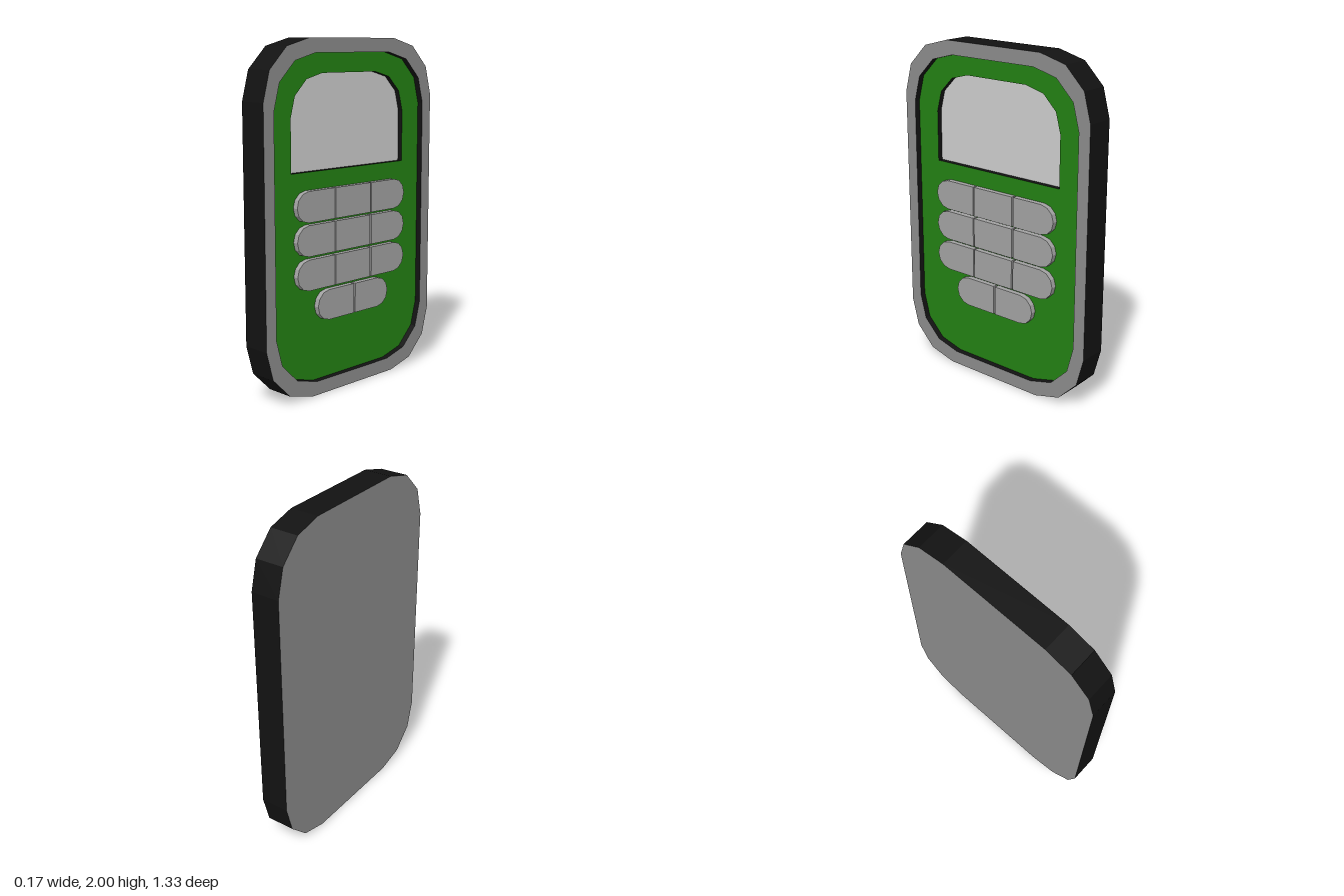
import * as THREE from 'three';

const mat = (color) => new THREE.MeshStandardMaterial({ color, flatShading: true });

// Counter-clockwise outline of a box whose corners are cut into 30 degree steps.
// Radii run top right, top left, bottom left, bottom right.
function outline(x0, x1, y0, y1, radii) {
  const corners = [[x1, y1, -1, -1], [x0, y1, 1, -1], [x0, y0, 1, 1], [x1, y0, -1, 1]];
  const points = [];
  corners.forEach(([x, y, sx, sy], i) => {
    const r = radii[i];
    if (!r) { points.push(new THREE.Vector2(x, y)); return; }
    for (let k = 0; k <= 3; k++) {
      const a = (i * 3 + k) * Math.PI / 6;
      points.push(new THREE.Vector2(x + sx * r + r * Math.cos(a), y + sy * r + r * Math.sin(a)));
    }
  });
  return points;
}

// Straight wall along an outline; inward walls face the middle.
function wall(points, z0, z1, inward = false) {
  const loop = inward ? [...points].reverse() : points;
  const pos = [];
  loop.forEach((a, i) => {
    const b = loop[(i + 1) % loop.length];
    pos.push(a.x, a.y, z0, b.x, b.y, z0, b.x, b.y, z1);
    pos.push(a.x, a.y, z0, b.x, b.y, z1, a.x, a.y, z1);
  });
  const g = new THREE.BufferGeometry();
  g.setAttribute('position', new THREE.Float32BufferAttribute(pos, 3));
  g.computeVertexNormals();
  return g;
}

// Flat face filling an outline, with an optional opening.
function face(points, z, hole) {
  const shape = new THREE.Shape(points);
  if (hole) shape.holes.push(new THREE.Path(hole));
  return new THREE.ShapeGeometry(shape).translate(0, 0, z);
}

export function createModel() {
  const black = mat(0x121212), grey = mat(0x8a8a8a), green = mat(0x238013);
  const keyGrey = mat(0xa1a1a1), screenGrey = mat(0xcccccc);

  // Built facing +z, then turned so the keypad faces +x
  const device = new THREE.Group();
  device.name = 'handset';
  device.rotation.y = Math.PI / 2;
  const add = (name, geometry, material, parent = device) => {
    const mesh = new THREE.Mesh(geometry, material);
    mesh.name = name;
    parent.add(mesh);
  };

  const D = 0.085, PANEL = 0.05, SCREEN = 0.02;
  const body = outline(-0.665, 0.665, 0, 2, Array(4).fill(0.333));
  const panel = outline(-0.593, 0.593, 0.08, 1.92, Array(4).fill(0.303));
  const screen = outline(-0.445, 0.449, 1.275, 1.81, [0.235, 0.235, 0, 0]);

  // Casing
  add('casingSide', wall(body, -D, D), black);
  add('casingBack', face(body, D).rotateY(Math.PI), grey);
  add('rim', face(body, D, panel), grey);

  // Recessed panel and screen
  add('panelRecess', wall(panel, PANEL, D, true), black);
  add('panel', face(panel, PANEL, screen), green);
  add('screenRecess', wall(screen, SCREEN, PANEL, true), black);
  add('screen', face(screen, SCREEN), screenGrey);

  // Keypad: the outer ends of each row are rounded
  const keypad = new THREE.Group();
  keypad.name = 'keypad';
  device.add(keypad);
  const three = [[-0.432, -0.147], [-0.139, 0.143], [0.154, 0.437]];
  const two = [[-0.278, 0.007], [0.019, 0.295]];
  [[1.0, three], [0.81, three], [0.617, three], [0.423, two]].forEach(([y, row], r) => {
    row.forEach(([x0, x1], i) => {
      const left = i === 0 ? 0.0875 : 0;
      const right = i === row.length - 1 ? 0.0875 : 0;
      const shape = new THREE.Shape(outline(x0, x1, y, y + 0.175, [right, left, left, right]));
      const key = new THREE.ExtrudeGeometry(shape, { depth: 0.032, bevelEnabled: false });
      add(`key${r + 1}_${i + 1}`, key.translate(0, 0, PANEL), keyGrey, keypad);
    });
  });

  const model = new THREE.Group();
  model.name = 'handheldDevice';
  model.add(device);
  return model;
}
